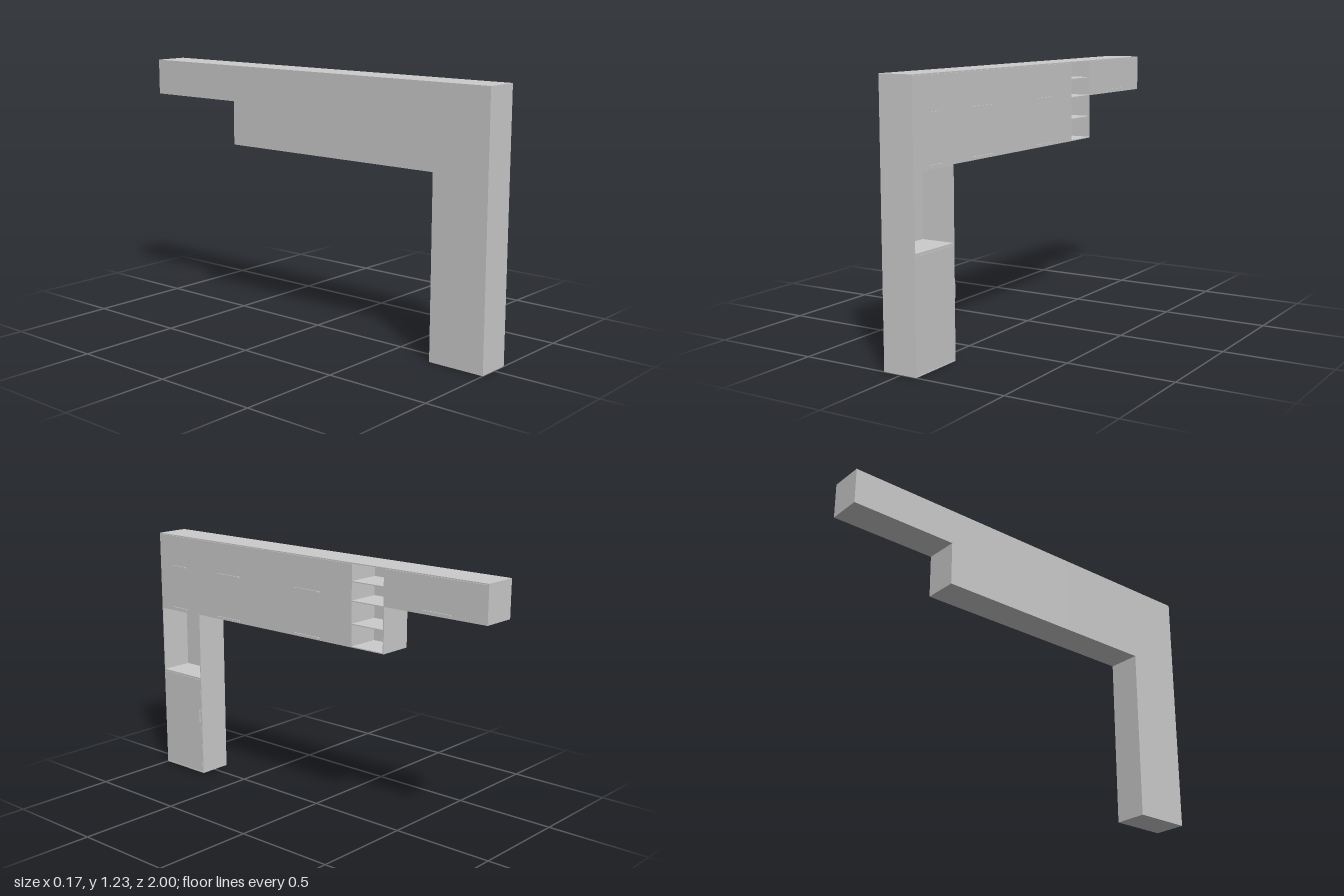
import * as THREE from 'three';

const BACK = -0.087, FRONT = 0.078, T = 0.005;
const material = new THREE.MeshStandardMaterial({ color: 0xcccccc, flatShading: true });

// Box given by its minimum and maximum corners
function slab(parent, name, x0, x1, y0, y1, z0, z1) {
  const mesh = new THREE.Mesh(new THREE.BoxGeometry(x1 - x0, y1 - y0, z1 - z0), material);
  mesh.position.set((x0 + x1) / 2, (y0 + y1) / 2, (z0 + z1) / 2);
  mesh.name = name;
  parent.add(mesh);
}

// Open-fronted cabinet carcass made of five thin panels
function carcass(parent, name, y0, y1, z0, z1) {
  const g = new THREE.Group();
  g.name = name;
  slab(g, 'backPanel', BACK, BACK + T, y0, y1, z0, z1);
  slab(g, 'bottomPanel', BACK + T, FRONT, y0, y0 + T, z0, z1);
  slab(g, 'topPanel', BACK + T, FRONT, y1 - T, y1, z0, z1);
  slab(g, 'sidePanel', BACK + T, FRONT, y0 + T, y1 - T, z0, z0 + T);
  slab(g, 'sidePanel', BACK + T, FRONT, y0 + T, y1 - T, z1 - T, z1);
  parent.add(g);
  return g;
}

// Door set flush with the front edges
function door(parent, y0, y1, z0, z1) {
  slab(parent, 'door', FRONT - T, FRONT, y0, y1, z0, z1);
}

// Bracket handle: a bar on two posts, lying along z or standing upright
function handle(parent, y, z, length, upright = false) {
  const g = new THREE.Group();
  g.name = 'handle';
  const h = length / 2, r = 0.0035;
  slab(g, 'bar', 0.004, 0.009, -r, r, -h, h);
  for (const s of [-1, 1]) {
    const c = s * (h - r);
    slab(g, 'post', 0, 0.004, -r, r, c - r, c + r);
  }
  g.position.set(FRONT, y, z);
  if (upright) g.rotation.x = Math.PI / 2;
  parent.add(g);
}

export function createModel() {
  const model = new THREE.Group();
  model.name = 'cabinetWall';
  const Y = { low: 0.509, mid: 0.846, split: 1.058, top: 1.231 };
  const Z = { column: 0.721, doorSplit: 0.25, shelf: -0.275, step: -0.465 };
  const gap = 0.001, e = T + gap;

  // Tall column: lower cupboard and open niche
  const cupboard = carcass(model, 'columnCupboard', 0, Y.low, Z.column, 1);
  door(cupboard, e, Y.low - e, Z.column + e, 1 - gap);
  handle(cupboard, 0.31, 0.734, 0.062, true);
  carcass(model, 'openNiche', Y.low, Y.mid, Z.column, 1);

  // Two rows of wall cupboards: z range, handle centre and handle length
  const bays = [
    [Z.column, 1, 0.857, 0.095],
    [Z.doorSplit, Z.column, 0.503, 0.15],
    [Z.shelf, Z.doorSplit, -0.013, 0.15],
  ];
  for (const [y0, y1, handleY] of [[Y.mid, Y.split, 0.858], [Y.split, Y.top, 1.073]]) {
    for (const [z0, z1, hz, length] of bays) {
      const c = carcass(model, 'wallCupboard', y0, y1, z0, z1);
      // Doors cover the carcass edges except along the topmost panel
      door(c, y0 + gap, y1 === Y.top ? y1 - e : y1 - gap, z0 + gap, z1 - gap);
      handle(c, handleY, hz, length);
    }
  }

  // Open shelf unit
  const shelves = carcass(model, 'openShelves', Y.mid, Y.top, Z.step, Z.shelf);
  for (const y of [0.953, Y.split, 1.146]) {
    slab(shelves, 'shelf', BACK + T, FRONT, y - T / 2, y + T / 2, Z.step + T, Z.shelf - T);
  }

  // Shallow cupboard at the far end
  const end = carcass(model, 'endCupboard', Y.split, Y.top, -1, Z.step);
  door(end, Y.split + gap, Y.top - e, -1 + gap, Z.step - gap);
  handle(end, 1.073, -0.745, 0.15);

  return model;
}
